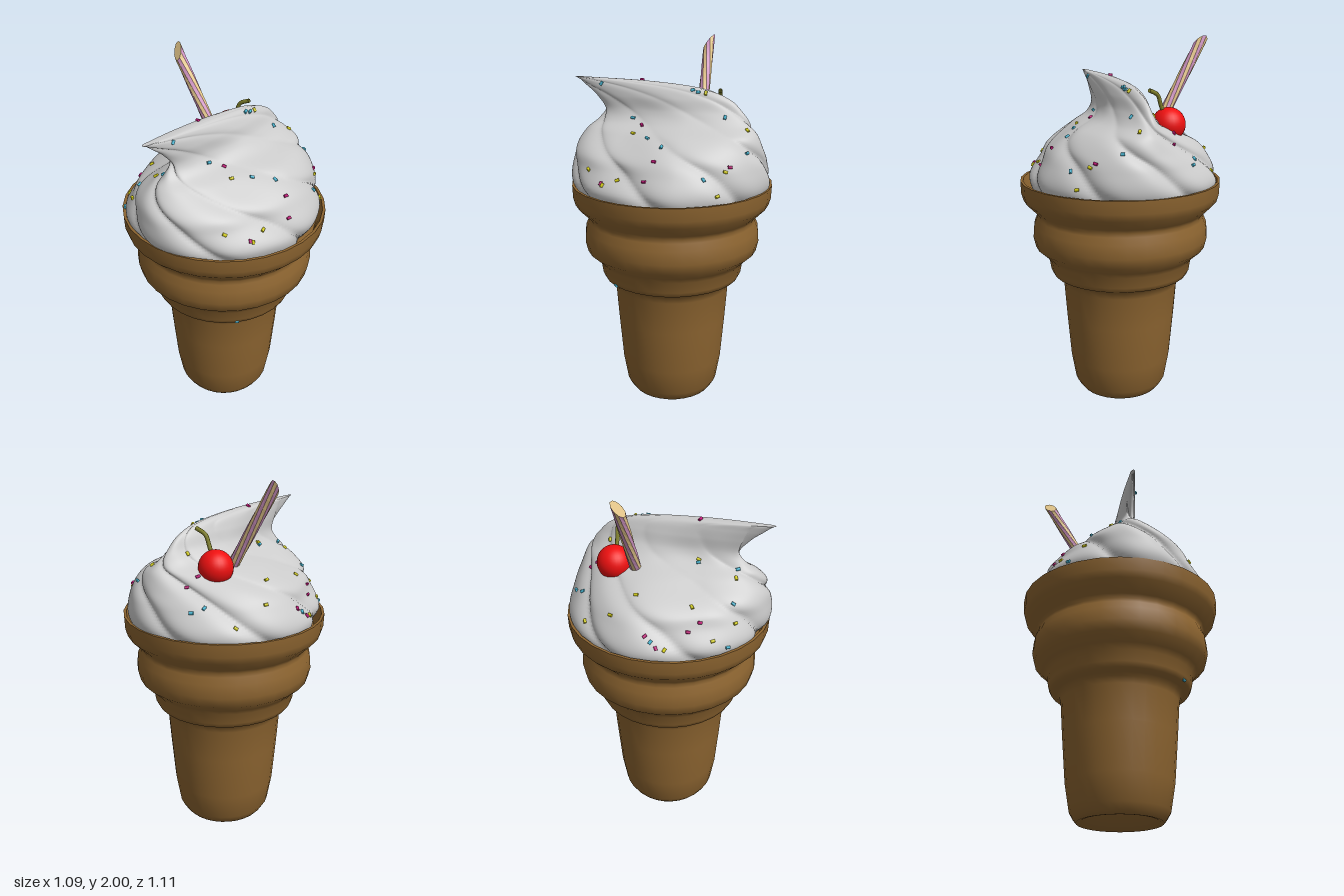
import * as THREE from 'three';
import { toCreasedNormals } from 'three/addons/utils/BufferGeometryUtils.js';

const V = (x, y, z) => new THREE.Vector3(x, y, z);
const { smoothstep } = THREE.MathUtils;
const paint = (color, side = THREE.FrontSide) => {
  const m = new THREE.MeshStandardMaterial({ color: 0xcccccc, side });
  if (color !== undefined) m.color.set(color);
  return m;
};

function addMesh(parent, name, geometry, material) {
  const mesh = new THREE.Mesh(geometry, material);
  mesh.name = name;
  parent.add(mesh);
  return mesh;
}

// Stepped wafer cup with a hollow foot
function makeCup() {
  const profile = [
    [0.08, 0.12], [0.12, 0.07], [0.17, 0.025], [0.205, 0.004], [0.225, 0], [0.24, 0.018],
    [0.262, 0.055], [0.287, 0.2], [0.308, 0.45], [0.322, 0.64], [0.332, 0.675], [0.35, 0.69],
    [0.38, 0.703], [0.393, 0.73], [0.402, 0.79], [0.425, 0.82], [0.475, 0.865], [0.488, 0.92],
    [0.482, 0.99], [0.466, 1.03], [0.462, 1.05], [0.475, 1.07], [0.535, 1.13], [0.547, 1.17],
    [0.55, 1.24], [0.535, 1.24], [0.5, 1.15], [0, 1.14],
  ].map(([x, y]) => new THREE.Vector2(x, y));
  return toCreasedNormals(new THREE.LatheGeometry(profile, 30), 1.1);
}

// Swirl: horizontal sections that narrow into a blade with an overhanging tip
function makeSwirl() {
  const levels = [ // y, left x, right x, front z, back z
    [1.12, -0.47, 0.46, 0.47, -0.46], [1.25, -0.53, 0.51, 0.55, -0.545],
    [1.37, -0.485, 0.46, 0.55, -0.555], [1.45, -0.42, 0.4, 0.53, -0.535],
    [1.52, -0.28, 0.3, 0.48, -0.505], [1.57, -0.15, 0.16, 0.42, -0.465],
    [1.63, -0.085, 0.095, 0.385, -0.41], [1.7, -0.06, 0.07, 0.43, -0.33],
    [1.75, -0.045, 0.05, 0.49, -0.19], [1.78, -0.033, 0.032, 0.53, 0.1],
    [1.792, -0.015, 0.012, 0.55, 0.5],
  ];
  const xs = new THREE.CatmullRomCurve3(levels.map(l => V(l[1], l[0], l[2])), false, 'catmullrom');
  const zs = new THREE.CatmullRomCurve3(levels.map(l => V(l[3], l[0], l[4])), false, 'catmullrom');
  const rings = 90, sides = 260, pos = [], index = [];
  for (let i = 0; i <= rings; i++) {
    const t = i / rings, a = xs.getPoint(t), b = zs.getPoint(t);
    const upper = smoothstep(a.y, 1.38, 1.6);
    const slim = 0.04 + 0.08 * smoothstep(a.y, 1.25, 1.37) + 0.16 * smoothstep(a.y, 1.4, 1.53)
      - 0.2 * smoothstep(a.y, 1.6, 1.75);
    for (let j = 0; j < sides; j++) {
      const th = j / sides * Math.PI * 2;
      // rounded folds winding down from the tip
      const fold = 1 - Math.abs(Math.sin(3.5 * (th - 3 * (1 - t) + 0.3)));
      // shallow hollow at the back that holds the cherry
      const hollow = Math.exp(-(((th - 3.65) / 0.65) ** 2)) * smoothstep(a.y, 1.22, 1.52);
      const s = 1 - 0.06 * fold * fold * Math.min(1, 8 * (1 - t)) - 0.25 * hollow * (1 - t);
      // the front half is slimmer than the back
      const front = 1 - slim * smoothstep(Math.cos(th), -0.2, 0.5);
      const x = Math.sin(th) * (Math.sin(th) < 0 ? -a.x : a.z) * s * front;
      const z = (b.x + b.z) / 2 + Math.cos(th) * (b.x - b.z) / 2 * s;
      pos.push(x - 0.08 * z * upper, a.y, z);
      if (i < rings) {
        const k = i * sides, n = (j + 1) % sides;
        index.push(k + j, k + n, k + sides + n, k + j, k + sides + n, k + sides + j);
      }
    }
  }
  // close the narrow top edge
  const top = rings * sides;
  for (let j = 1; j < sides - 1; j++) index.push(top, top + j, top + j + 1);
  const g = new THREE.BufferGeometry();
  g.setAttribute('position', new THREE.Float32BufferAttribute(pos, 3));
  g.setIndex(index);
  g.computeVertexNormals();
  return g;
}

// Every other strip of a twisted straw, cut aslant so the opening faces the front
function makeStrips(first) {
  const sides = 10, steps = 12, r = 0.03, pos = [];
  const low = V(-0.14, 1.5, -0.132), high = V(-0.415, 1.96, -0.132);
  const axis = high.clone().sub(low).normalize();
  const u = V(axis.y, -axis.x, 0), w = V(0, 0, 1);
  const point = (i, j) => {
    const th = (j / sides) * Math.PI * 2 + i / steps * 1.6;
    const along = (i / steps) * (1 - 0.084 * Math.sin(th));
    return low.clone().lerp(high, along)
      .addScaledVector(u, r * Math.cos(th)).addScaledVector(w, r * Math.sin(th));
  };
  const tri = (...ps) => ps.forEach(p => pos.push(p.x, p.y, p.z));
  for (let j = first; j < sides; j += 2) {
    for (let i = 0; i < steps; i++) {
      const a = point(i, j), b = point(i, j + 1), c = point(i + 1, j + 1), d = point(i + 1, j);
      tri(a, c, b, a, d, c);
    }
  }
  if (first === 0) for (let j = 0; j < sides; j++) tri(high, point(steps, j + 1), point(steps, j));
  const g = new THREE.BufferGeometry();
  g.setAttribute('position', new THREE.Float32BufferAttribute(pos, 3));
  g.computeVertexNormals();
  return g;
}

// Sprinkles dropped onto the swirl at x, z spots
const SPRINKLES = [
  ['pink', 0xc01878, [[-0.09, -0.4], [-0.12, -0.35], [0.33, -0.36], [-0.48, 0], [-0.5, 0.06],
    [-0.41, 0.2], [-0.37, 0.25], [-0.03, 0.17], [0.11, 0.14], [0.4, 0.01], [0.45, 0.05], [0.39, 0.29]]],
  ['yellow', 0xd2cc18, [[-0.36, -0.35], [-0.42, -0.19], [-0.34, -0.08], [-0.02, -0.31], [0.05, -0.19],
    [0.12, -0.42], [0.35, -0.34], [0.41, -0.31], [-0.49, 0.1], [-0.33, 0.2], [-0.09, 0.18],
    [-0.39, 0.32], [-0.28, 0.41], [-0.13, 0.38], [0.18, 0.17], [0.4, 0.2], [0.4, 0.28], [0.3, 0.38]]],
  ['blue', 0x48b4d0, [[-0.17, -0.46], [-0.21, -0.41], [0.22, -0.43], [0.1, -0.3], [0.41, -0.24],
    [0.05, -0.15], [0.045, -0.12], [0.32, -0.01], [0.24, 0.08], [0.06, 0.2], [-0.1, 0.18],
    [-0.49, 0.03], [-0.36, 0.39], [-0.24, 0.39], [-0.08, 0.38], [0, 0.39]]],
];

function addSprinkles(parent, swirl) {
  const shape = new THREE.CylinderGeometry(0.008, 0.008, 0.022, 7);
  const ray = new THREE.Raycaster();
  swirl.updateMatrixWorld(true);
  let n = 0;
  for (const [name, color, spots] of SPRINKLES) {
    const mat = paint(color);
    for (const [x, z] of spots) {
      n++;
      ray.set(V(x, 3, z), V(0, -1, 0));
      const hit = ray.intersectObject(swirl)[0];
      if (!hit || hit.point.y < 1.2) continue;
      const m = addMesh(parent, name + 'Sprinkle', shape, mat);
      const dir = V(Math.cos(n * 2.4), 0.2, Math.sin(n * 2.4)).projectOnPlane(hit.face.normal).normalize();
      m.quaternion.setFromUnitVectors(V(0, 1, 0), dir);
      m.position.copy(hit.point).addScaledVector(hit.face.normal, 0.003);
    }
  }
  // one stray sprinkle on the cup's step
  const stray = addMesh(parent, 'straySprinkle', shape, paint(0x48b4d0));
  stray.position.set(0.288, 0.71, 0.252);
  stray.rotation.set(0, 0.7, Math.PI / 2);
}

export function createModel() {
  const model = new THREE.Group();
  model.name = 'iceCreamCup';
  addMesh(model, 'waferCup', makeCup(), paint(0x8c6430));
  const swirl = addMesh(model, 'iceCreamSwirl', makeSwirl(), paint());

  // Pale filling seen through the hole in the foot
  const plug = addMesh(model, 'footFilling', new THREE.CircleGeometry(0.08, 30), paint());
  plug.position.y = 0.12;
  plug.rotation.x = Math.PI / 2;

  // Cherry and its curved stem
  const cherry = new THREE.Group();
  cherry.name = 'cherry';
  addMesh(cherry, 'cherryFruit', new THREE.SphereGeometry(0.09, 28, 20), paint(0xee1010))
    .position.set(-0.152, 1.555, -0.25);
  const stemPath = new THREE.CatmullRomCurve3([
    V(-0.125, 1.61, -0.245), V(-0.105, 1.66, -0.245), V(-0.085, 1.71, -0.248), V(-0.03, 1.738, -0.256)]);
  addMesh(cherry, 'cherryStem', new THREE.TubeGeometry(stemPath, 14, 0.011, 8), paint(0x80802c, THREE.DoubleSide));
  model.add(cherry);

  // Striped straw
  const straw = new THREE.Group();
  straw.name = 'straw';
  addMesh(straw, 'creamStripes', makeStrips(0), paint(0xe6c88c, THREE.DoubleSide));
  addMesh(straw, 'pinkStripes', makeStrips(1), paint(0xd296c4, THREE.DoubleSide));
  model.add(straw);

  const sprinkles = new THREE.Group();
  sprinkles.name = 'sprinkles';
  addSprinkles(sprinkles, swirl);
  model.add(sprinkles);
  return model;
}
